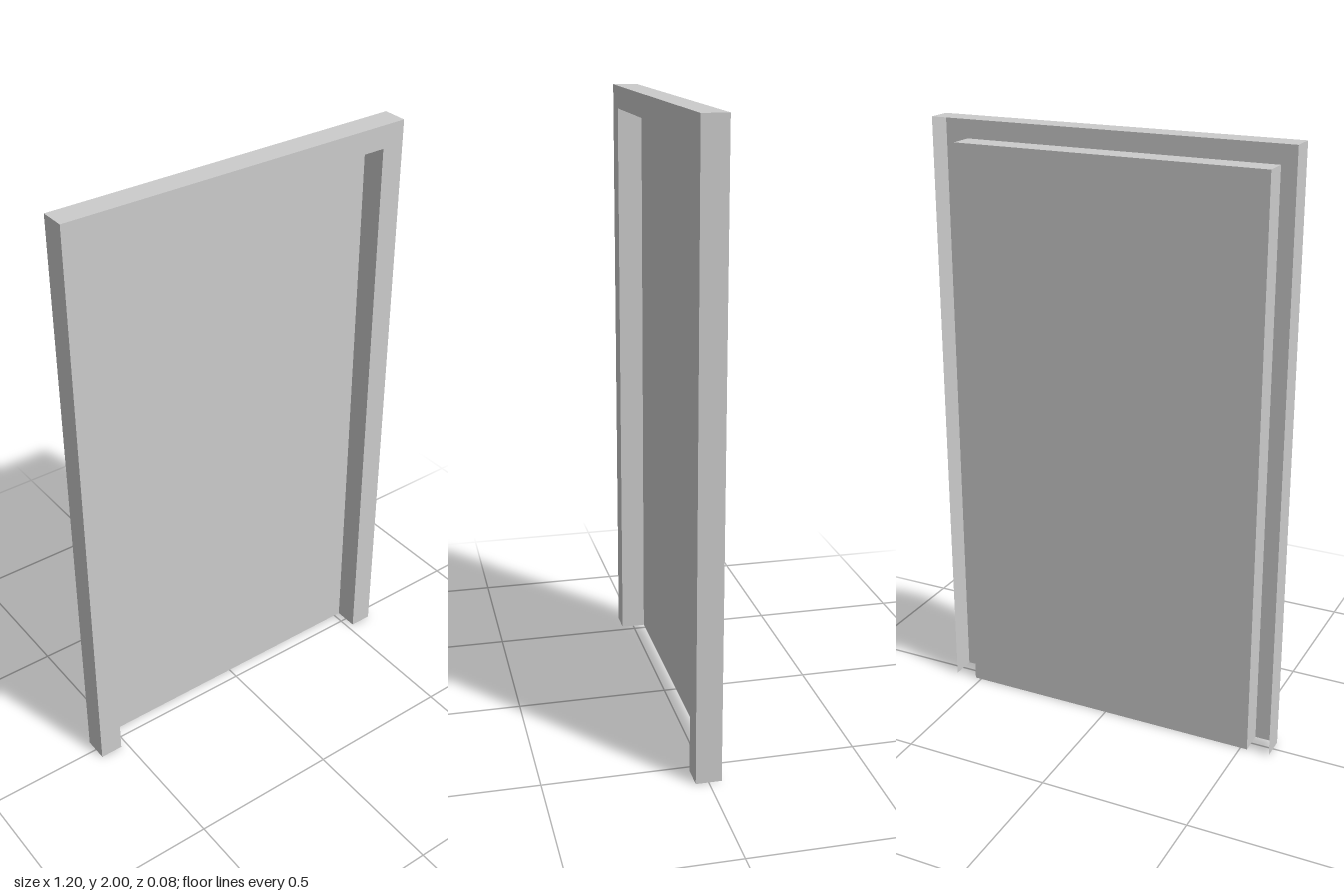
import * as THREE from 'three';

const HALF_W = 0.6, HEIGHT = 2;          // outer frame
const OPEN_W = 0.523, OPEN_H = 1.925;    // recessed opening
const DEPTH = 0.082;

export function createModel() {
  const group = new THREE.Group();
  group.name = 'door';
  const material = new THREE.MeshStandardMaterial({
    color: 0xcccccc, flatShading: true, side: THREE.DoubleSide,
  });

  const add = (name, geometry, x, y, z, rx = 0, ry = 0) => {
    const mesh = new THREE.Mesh(geometry, material);
    mesh.name = name;
    mesh.position.set(x, y, z);
    mesh.rotation.set(rx, ry, 0);
    group.add(mesh);
  };

  // Front face of the frame: an upside-down U
  const face = new THREE.Shape([
    [-HALF_W, 0], [-OPEN_W, 0], [-OPEN_W, OPEN_H], [OPEN_W, OPEN_H],
    [OPEN_W, 0], [HALF_W, 0], [HALF_W, HEIGHT], [-HALF_W, HEIGHT],
  ].map(([x, y]) => new THREE.Vector2(x, y)));
  add('frameFace', new THREE.ShapeGeometry(face), 0, 0, DEPTH / 2);

  // Thin side walls: outer ones face out, reveals face into the opening
  for (const [side, s] of [['left', 1], ['right', -1]]) {
    add(side + 'OuterWall', new THREE.PlaneGeometry(DEPTH, HEIGHT),
      s * HALF_W, HEIGHT / 2, 0, 0, s * Math.PI / 2);
    add(side + 'Reveal', new THREE.PlaneGeometry(DEPTH, OPEN_H),
      s * OPEN_W, OPEN_H / 2, 0, 0, -s * Math.PI / 2);
  }

  // Top wall and the head of the opening; frame is open at the back and bottom
  add('topWall', new THREE.PlaneGeometry(2 * HALF_W, DEPTH), 0, HEIGHT, 0, -Math.PI / 2);
  add('topReveal', new THREE.PlaneGeometry(2 * OPEN_W, DEPTH), 0, OPEN_H, 0, Math.PI / 2);

  // Door panel set at the back of the opening
  add('doorPanel', new THREE.PlaneGeometry(2 * OPEN_W, OPEN_H), 0, OPEN_H / 2, -DEPTH / 2);

  return group;
}
